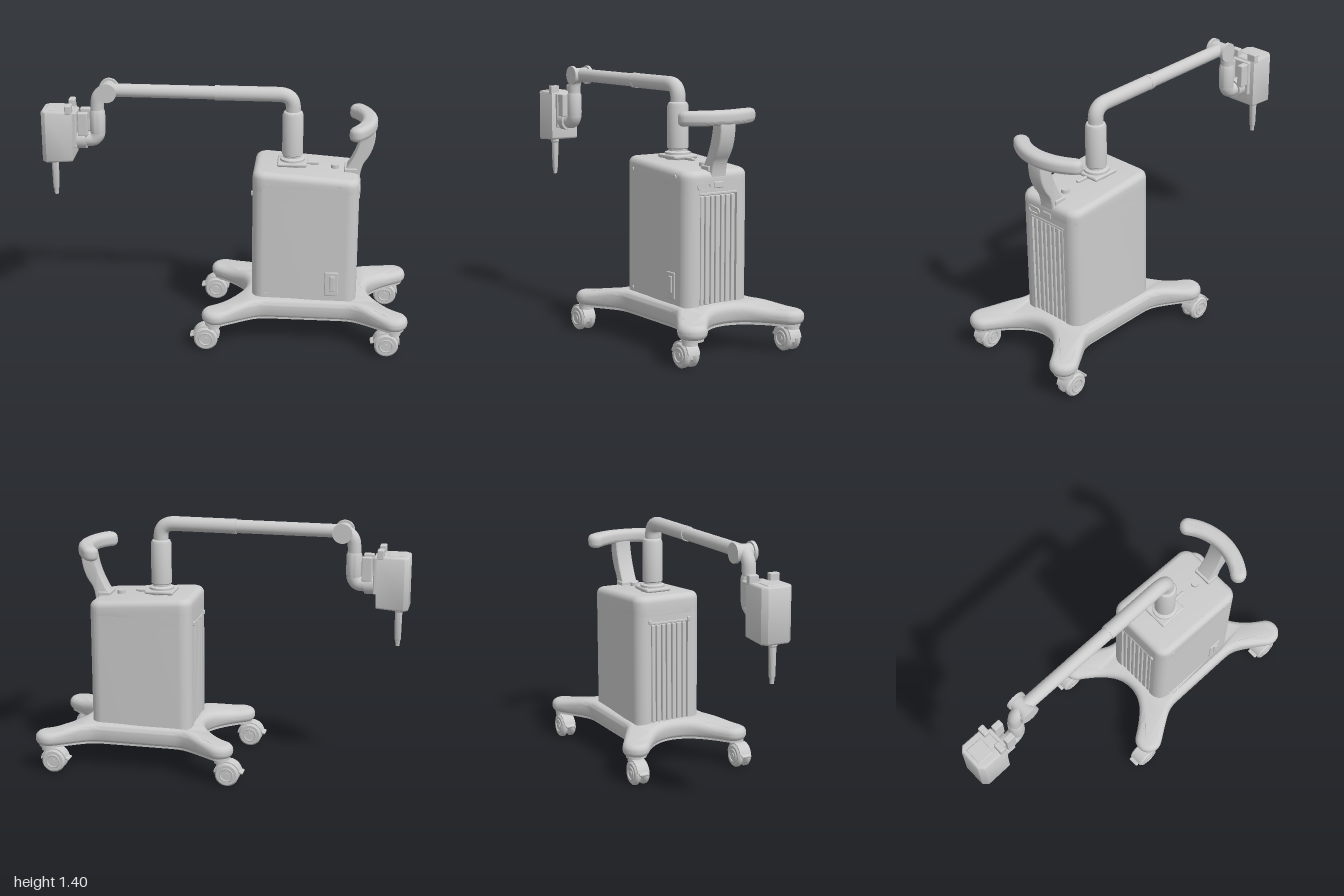
import * as THREE from 'three';
import { toCreasedNormals } from 'three/addons/utils/BufferGeometryUtils.js';
import { RoundedBoxGeometry } from 'three/addons/geometries/RoundedBoxGeometry.js';

const grey = new THREE.MeshStandardMaterial({ color: 0xcccccc });
const V = (x, y, z = 0) => new THREE.Vector3(x, y, z);

function add(parent, name, geo, x = 0, y = 0, z = 0) {
  const m = new THREE.Mesh(geo, grey);
  m.name = name;
  m.position.set(x, y, z);
  parent.add(m);
  return m;
}
const box = (w, h, d, r = 0.006) => new RoundedBoxGeometry(w, h, d, 2, Math.min(r, w / 2.1, h / 2.1, d / 2.1));
const cyl = (r, h, axis = 'y', r2 = r) => {
  const g = new THREE.CylinderGeometry(r2, r, h, 32);
  if (axis === 'z') g.rotateX(Math.PI / 2);
  if (axis === 'x') g.rotateZ(Math.PI / 2);
  return g;
};
const lathe = pts => toCreasedNormals(new THREE.LatheGeometry(pts.map(p => new THREE.Vector2(...p)), 32), 0.6);

// Plan shape extruded upward from y0 to y1 with rounded edges; warp may shift y
function slab(shape, y0, y1, b = 0, warp = null) {
  const g = new THREE.ExtrudeGeometry(shape, {
    depth: y1 - y0 - 2 * b, bevelEnabled: b > 0, bevelThickness: b, bevelSize: b,
    bevelOffset: -b, bevelSegments: 5, curveSegments: 12
  });
  g.rotateX(-Math.PI / 2).translate(0, y0 + b, 0);
  if (warp) {
    const p = g.attributes.position;
    for (let i = 0; i < p.count; i++) p.setY(i, warp(p.getX(i), p.getY(i)));
  }
  return toCreasedNormals(g, 0.7);
}

// Four-legged base outline, inset by d, mirrored from one quarter
function baseOutline(d) {
  const r = 0.075 - d, fx = 0.48, fz = 0.305, c = 0.84, s = 0.55;
  const q = new THREE.Path();
  q.moveTo(0, 0.25 - d);
  q.lineTo(0.18, 0.25 - d);
  q.bezierCurveTo(0.27, 0.25 - d, fx - s * r - 0.17, fz + c * r - 0.11, fx - s * r, fz + c * r);
  q.absarc(fx, fz, r, Math.atan2(c, -s), Math.atan2(-c, s), true);
  q.bezierCurveTo(fx + s * r - 0.13, fz - c * r - 0.085, 0.335 - d, 0.09, 0.335 - d, 0);
  const p = q.getPoints(12).filter((v, i, a) => i === 0 || v.distanceTo(a[i - 1]) > 1e-4);
  const m = (sx, sy) => p.map(v => new THREE.Vector2(v.x * sx, v.y * sy));
  return [...p, ...m(1, -1).reverse().slice(1), ...m(-1, -1).slice(1), ...m(-1, 1).reverse().slice(1, -1)];
}

// Cabinet plan with rounded corners; n is the depth of the end recesses
function cabinetPlan(n) {
  const w = 0.285, d = 0.2, r = 0.065, k = 0.115, s = new THREE.Shape();
  s.moveTo(-w + r, -d);
  s.lineTo(w - r, -d);
  s.absarc(w - r, -d + r, r, -Math.PI / 2, 0, false);
  if (n) [[w, -k], [w - n, -k], [w - n, k], [w, k]].forEach(a => s.lineTo(...a));
  s.absarc(w - r, d - r, r, 0, Math.PI / 2, false);
  s.absarc(-w + r, d - r, r, Math.PI / 2, Math.PI, false);
  if (n) [[-w, k], [-w + n, k], [-w + n, -k], [-w, -k]].forEach(a => s.lineTo(...a));
  s.absarc(-w + r, -d + r, r, Math.PI, Math.PI * 1.5, false);
  return s;
}

// Twin-wheel swivel caster, trailing toward -x from its stem
function caster(x, z) {
  const g = new THREE.Group();
  g.name = 'caster';
  g.position.set(x, 0, z);
  add(g, 'casterStem', cyl(0.04, 0.03), 0.035, 0.135, 0);
  add(g, 'casterCore', box(0.08, 0.09, 0.022), 0.015, 0.09, 0);
  for (const s of [-1, 1]) {
    add(g, 'wheel', lathe([[0, -0.017], [0.056, -0.017], [0.065, -0.008], [0.065, 0.008], [0.056, 0.017], [0, 0.017]])
      .rotateX(Math.PI / 2), 0, 0.065, s * 0.026);
    add(g, 'wheelHub', new THREE.TorusGeometry(0.035, 0.005, 8, 28), 0, 0.065, s * 0.043);
    add(g, 'axleCap', cyl(0.014, 0.006, 'z'), 0, 0.065, s * 0.044);
  }
  const hood = new THREE.Shape();
  hood.absarc(0, 0, 0.073, 0.1, 2.9, false);
  hood.absarc(0, 0, 0.067, 2.9, 0.1, true);
  add(g, 'casterHood', toCreasedNormals(new THREE.ExtrudeGeometry(hood, { depth: 0.07, bevelEnabled: false, curveSegments: 20 }), 0.6), 0, 0.065, -0.035);
  add(g, 'brakePedal', box(0.04, 0.014, 0.06), -0.068, 0.08, 0).rotation.z = 0.35;
  return g;
}

export function createModel() {
  const root = new THREE.Group();
  root.name = 'mobileCart';
  const cx = 0.445;

  // Base with underside rim and plate
  const rise = (x, y) => y > 0.18 ? y + 0.032 * (1 - THREE.MathUtils.smoothstep(Math.abs(x), 0.28, 0.48)) : y;
  add(root, 'base', slab(new THREE.Shape(baseOutline(0)), 0.147, 0.222, 0.034, rise), cx);
  const rim = new THREE.Shape(baseOutline(0.018));
  rim.holes.push(new THREE.Path(baseOutline(0.032)));
  add(root, 'baseRim', slab(rim, 0.14, 0.17), cx);
  add(root, 'bottomPlate', box(0.46, 0.014, 0.36), cx, 0.145, 0);
  for (const x of [-0.085, 0.89]) for (const z of [-0.32, 0.32]) root.add(caster(x, z));

  // Cabinet
  const bx = 0.435;
  add(root, 'cabinetLower', slab(cabinetPlan(0.025), 0.235, 0.82), bx);
  add(root, 'cabinetMiddle', slab(cabinetPlan(0), 0.82, 0.89), bx);
  add(root, 'cabinetTop', slab(cabinetPlan(0), 0.83, 0.972, 0.035,
    (x, y) => y > 0.9 ? y - 0.035 * THREE.MathUtils.smoothstep(x, -0.02, 0.285) : y), bx);

  // Vent fins in both end recesses
  for (const s of [-1, 1]) {
    for (let i = -3; i <= 3; i++)
      add(root, 'ventFin', box(0.022, 0.56, i % 2 ? 0.022 : 0.027, 0.004), bx + s * 0.27, 0.53, i * 0.032);
    add(root, 'ventTopStrip', box(0.012, 0.014, 0.24, 0.004), bx + s * 0.282, 0.822, 0);
  }

  // Cable port and latch on the handle side
  const port = new THREE.Shape();
  port.absarc(0.022, 0, 0.02, -Math.PI / 2, Math.PI / 2, false);
  port.absarc(-0.022, 0, 0.02, Math.PI / 2, Math.PI * 1.5, false);
  const slot = new THREE.Path();
  slot.absarc(0.022, 0, 0.013, -Math.PI / 2, Math.PI / 2, false);
  slot.absarc(-0.022, 0, 0.013, Math.PI / 2, Math.PI * 1.5, false);
  port.holes.push(slot);
  add(root, 'cablePort', new THREE.ExtrudeGeometry(port, { depth: 0.01, bevelEnabled: false }).rotateY(Math.PI / 2), 0.716, 0.862, 0.092);
  add(root, 'latch', box(0.02, 0.035, 0.06), 0.714, 0.865, 0);

  // Switch panel and screws
  add(root, 'switchPanel', box(0.075, 0.14, 0.012), 0.585, 0.345, 0.2);
  add(root, 'switchRocker', box(0.028, 0.09, 0.012), 0.59, 0.35, 0.207);
  for (const [x, y] of [[0.23, 0.905], [0.62, 0.905], [0.23, 0.272]])
    add(root, 'screw', cyl(0.012, 0.01, 'z'), x, y, 0.2);
  for (const z of [-0.12, 0.12]) add(root, 'sideStud', box(0.015, 0.025, 0.02), 0.148, 0.83, z);

  // Column mount and column
  add(root, 'columnPlate', box(0.16, 0.022, 0.15, 0.01), 0.355, 0.976, 0);
  add(root, 'columnClip', box(0.1, 0.016, 0.02), 0.45, 0.97, 0);
  add(root, 'topKnob', cyl(0.022, 0.02), 0.585, 0.955, 0);
  add(root, 'column', lathe([[0, 0.96], [0.068, 0.96], [0.068, 0.998], [0.05, 1.005], [0.05, 1.015], [0.056, 1.02],
    [0.056, 1.24], [0.05, 1.255], [0.038, 1.262], [0, 1.262]]), 0.355);

  // Boom arm
  const boom = new THREE.CurvePath();
  boom.add(new THREE.LineCurve3(V(0.355, 1.24), V(0.355, 1.28)));
  boom.add(new THREE.QuadraticBezierCurve3(V(0.355, 1.28), V(0.355, 1.35), V(0.275, 1.35)));
  boom.add(new THREE.LineCurve3(V(0.275, 1.35), V(-0.05, 1.35)));
  add(root, 'boomElbow', new THREE.TubeGeometry(boom, 80, 0.04, 24));
  add(root, 'boom', cyl(0.036, 0.6, 'x'), -0.34, 1.35, 0);
  add(root, 'boomSleeve', cyl(0.041, 0.025, 'x'), -0.05, 1.35, 0);

  // Wrist joint and drop tube
  add(root, 'wristPivot', cyl(0.042, 0.09, 'z'), -0.64, 1.347, 0);
  for (const z of [-0.05, 0.05]) add(root, 'wristDisc', cyl(0.053, 0.018, 'z'), -0.64, 1.347, z);
  const drop = new THREE.CatmullRomCurve3([V(-0.63, 1.347), V(-0.665, 1.34), V(-0.692, 1.31), V(-0.7, 1.26), V(-0.7, 1.2)]);
  add(root, 'dropTube', new THREE.TubeGeometry(drop, 32, 0.036, 24));
  add(root, 'dropCollar', lathe([[0, 1.11], [0.04, 1.11], [0.042, 1.125], [0.042, 1.225], [0.036, 1.24], [0, 1.24]]), -0.7);
  const lower = new THREE.CatmullRomCurve3([V(-0.7, 1.13), V(-0.702, 1.1), V(-0.722, 1.075), V(-0.76, 1.07), V(-0.82, 1.07)]);
  add(root, 'lowerElbow', new THREE.TubeGeometry(lower, 32, 0.04, 24));
  add(root, 'headSwivel', cyl(0.052, 0.06, 'x'), -0.79, 1.07, 0);

  // Head with bracket and probe
  const plan = new THREE.Shape([[-0.085, -0.06], [-0.06, -0.085], [0.085, -0.085], [0.085, 0.085], [-0.06, 0.085], [-0.085, 0.06]]
    .map(a => new THREE.Vector2(...a)));
  add(root, 'head', slab(plan, 0.95, 1.24, 0.01, (x, y) => y < 1 ? y + 0.12 * Math.max(0, x) : y), -0.914, 0, -0.008);
  add(root, 'headTopPanel', box(0.095, 0.014, 0.1), -0.93, 1.238, -0.008);
  for (const z of [-0.068, 0.052]) add(root, 'headTab', box(0.035, 0.05, 0.055), -0.848, 1.252, z);
  add(root, 'bracketPlate', box(0.025, 0.2, 0.12), -0.822, 1.13, -0.008);
  for (const z of [-0.055, 0.035]) add(root, 'bracketClip', box(0.055, 0.13, 0.035), -0.775, 1.165, z);
  add(root, 'probe', lathe([[0, 0.74], [0.011, 0.742], [0.013, 0.77], [0.017, 0.78], [0.02, 0.93], [0.025, 0.935], [0.025, 0.97], [0, 0.97]]), -0.944, 0, -0.008);

  // Push handle: curved post and arced grip
  const side = new THREE.Shape();
  side.moveTo(0.65, 0.92);
  side.lineTo(0.645, 0.955);
  side.bezierCurveTo(0.68, 1.01, 0.72, 1.09, 0.728, 1.19);
  side.lineTo(0.795, 1.19);
  side.bezierCurveTo(0.805, 1.13, 0.785, 1.05, 0.745, 1.0);
  side.quadraticCurveTo(0.72, 0.965, 0.718, 0.88);
  add(root, 'handlePost', toCreasedNormals(new THREE.ExtrudeGeometry(side, {
    depth: 0.078, bevelSize: 0.007, bevelThickness: 0.007, bevelOffset: -0.007, bevelSegments: 3, curveSegments: 16
  }), 0.7), 0, 0, -0.039);
  add(root, 'handleFoot', box(0.07, 0.03, 0.11), 0.67, 0.945, 0);
  const R = 0.31, a = 0.66, t = 0.042, grip = new THREE.Shape();
  grip.absarc(0, 0, R + t, -a, a, false);
  grip.absarc(R * Math.cos(a), R * Math.sin(a), t, a, a + Math.PI, false);
  grip.absarc(0, 0, R - t, a, -a, true);
  grip.absarc(R * Math.cos(a), -R * Math.sin(a), t, -a + Math.PI, -a + 2 * Math.PI, false);
  add(root, 'grip', slab(grip, 1.17, 1.246, 0.027, (x, y) => y - 0.08 * Math.max(0, 0.27 - x)), 0.455);
  return root;
}
